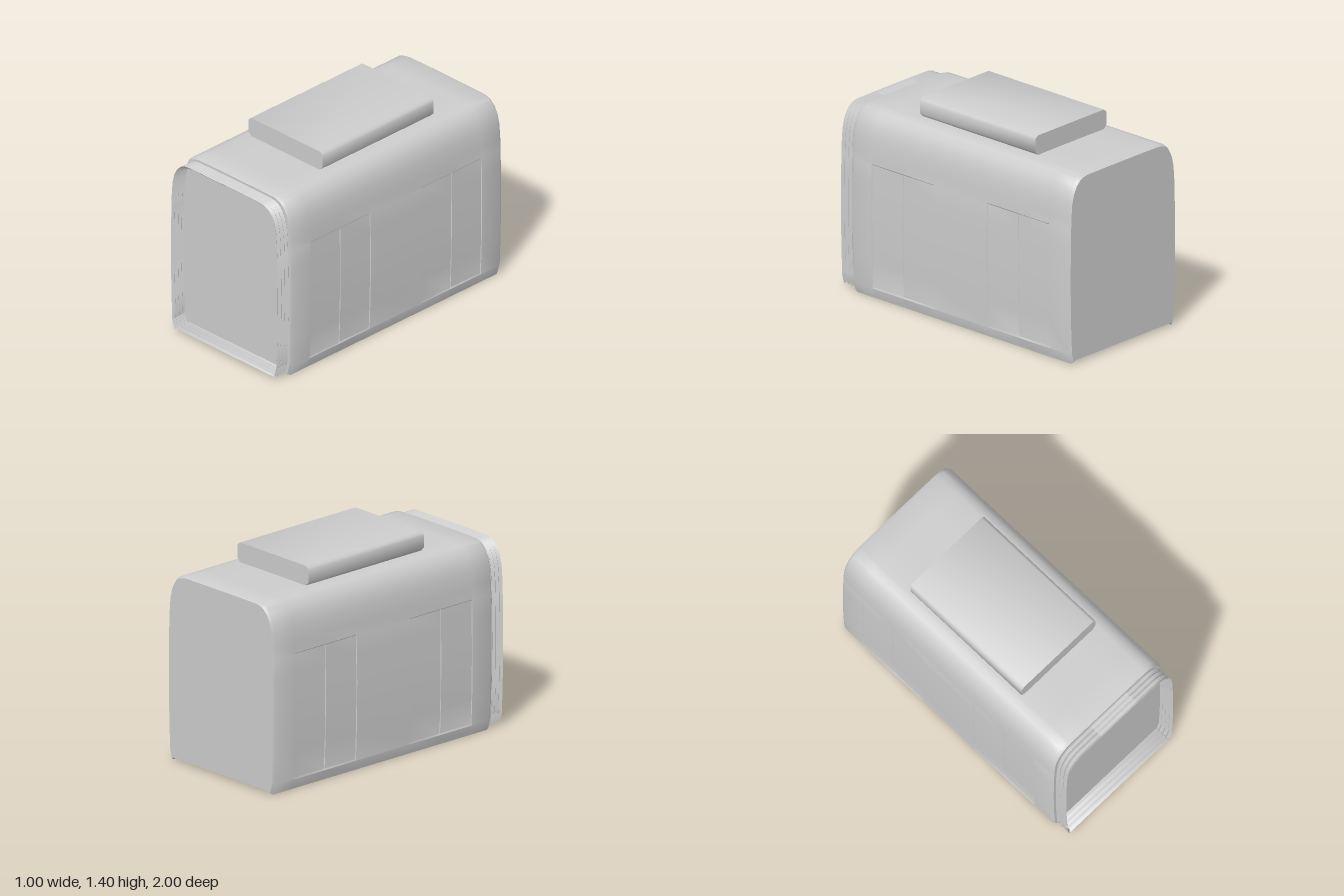
import * as THREE from 'three';
import { toCreasedNormals } from 'three/addons/utils/BufferGeometryUtils.js';

const MID = 0.64;
// Right half of the body section, bottom to top: x, y, 1 if inside the door opening
const HALF = [
  [0.455, 0.013, 0], [0.468, 0.002, 0], [0.487, 0.07, 0], [0.487, 0.08, 1], [0.494, 0.25, 1],
  [0.498, 0.45, 1], [0.499, 0.6, 1], [0.497, 0.8, 1], [0.495, 0.917, 1], [0.494, 0.922, 0],
  [0.492, 1.0, 0], [0.484, 1.1, 0], [0.468, 1.165, 0], [0.442, 1.215, 0], [0.405, 1.25, 0],
  [0.37, 1.263, 0], [0.34, 1.268, 0], [0.17, 1.27, 0],
];
const SECTION = [...HALF, ...HALF.slice().reverse().map(([x, y, d]) => [-x, y, d])];

// One ring of the section, shrunk by inset, with the door areas sunk by recess
function ring(z, inset = 0, recess = 0) {
  return SECTION.map(([x, y, door]) => new THREE.Vector3(
    x * (1 - inset / 0.5) - Math.sign(x) * door * recess,
    MID + (y - MID) * (1 - inset / 0.635), z));
}

// Skin a row of rings running from back to front, with flat ends if closed
function loft(rings, closed, crease) {
  const pos = [];
  const tri = (...corners) => corners.forEach((v) => pos.push(v.x, v.y, v.z));
  const n = SECTION.length;
  const last = rings[rings.length - 1];
  const back = new THREE.Vector3(0, MID, rings[0][0].z);
  const front = new THREE.Vector3(0, MID, last[0].z);
  for (let j = 0; j < n; j++) {
    const k = (j + 1) % n;
    for (let i = 0; i < rings.length - 1; i++) {
      const [p, q] = [rings[i], rings[i + 1]];
      tri(p[j], p[k], q[k]);
      tri(p[j], q[k], q[j]);
    }
    if (closed) {
      tri(back, rings[0][k], rings[0][j]);
      tri(front, last[j], last[k]);
    }
  }
  const geo = new THREE.BufferGeometry();
  geo.setAttribute('position', new THREE.Float32BufferAttribute(pos, 3));
  return toCreasedNormals(geo, crease);
}

export function createModel() {
  const group = new THREE.Group();
  // Double sided because the gangway is an open sleeve
  const grey = new THREE.MeshStandardMaterial({ color: 0xcccccc, side: THREE.DoubleSide });
  grey.name = 'light grey';
  const add = (geo, name) => {
    const mesh = new THREE.Mesh(geo, grey);
    mesh.name = name;
    group.add(mesh);
  };

  // Carriage body with two recessed double doors on each side
  const rings = [ring(-1, 0.01), ring(-0.98)];
  for (const [z0, z1] of [[-0.82, -0.28], [0.18, 0.72]]) {
    const mid = (z0 + z1) / 2;
    rings.push(ring(z0), ring(z0 + 0.003, 0, 0.005));
    // narrow seam between the door leaves
    rings.push(ring(mid - 0.003, 0, 0.005), ring(mid, 0, 0.01), ring(mid + 0.003, 0, 0.005));
    rings.push(ring(z1 - 0.003, 0, 0.005), ring(z1));
  }
  rings.push(ring(0.872), ring(0.893, 0.01));
  add(loft(rings, true, 0.65), 'body');

  // Pleated gangway sleeve, open at the front
  const pleats = [];
  for (let i = 0; i <= 7; i++) pleats.push(ring(0.888 + i * 0.016, i % 2 ? 0.018 : 0.033));
  add(loft(pleats, false, 1.5), 'gangwayBellows');

  // Roof equipment box with bevelled long edges
  const profile = new THREE.Shape([
    [0.303, 1.265], [0.333, 1.295], [0.333, 1.377], [0.325, 1.39], [0.308, 1.402],
    [-0.308, 1.402], [-0.325, 1.39], [-0.333, 1.377], [-0.333, 1.295], [-0.303, 1.265],
  ].map(([x, y]) => new THREE.Vector2(x, y)));
  const roof = new THREE.ExtrudeGeometry(profile, { depth: 1, bevelEnabled: false });
  roof.translate(0, 0, -0.55);
  add(toCreasedNormals(roof, 0.9), 'roofUnit');

  return group;
}
